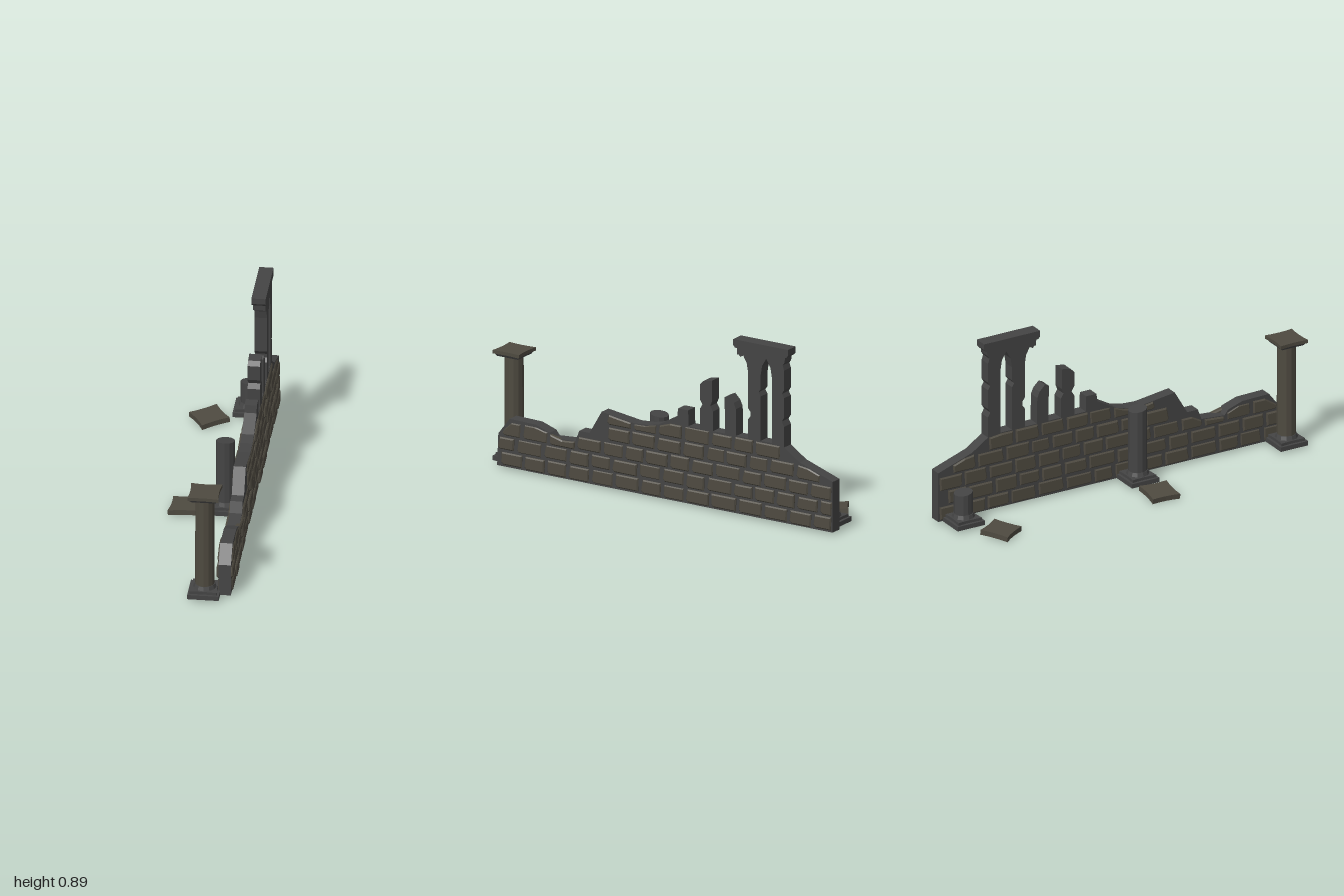
import * as THREE from 'three';

const stone = new THREE.MeshStandardMaterial({ color: 0x444444, flatShading: true });
const brickStone = new THREE.MeshStandardMaterial({ color: 0x4e4a40, flatShading: true });

// Seeded random numbers for the uneven masonry
let seed = 7;
const rand = (a, b) => {
  seed = (seed * 16807) % 2147483647;
  return a + (b - a) * (seed / 2147483647);
};

function add(parent, name, geometry, material, x = 0, y = 0, z = 0) {
  const mesh = new THREE.Mesh(geometry, material);
  mesh.name = name;
  mesh.position.set(x, y, z);
  parent.add(mesh);
  return mesh;
}

const shapeOf = (pts) => new THREE.Shape(pts.map(([a, b]) => new THREE.Vector2(a, b)));

// Extrudes a (z, y) outline across the wall, from x0 to x1
function slab(shape, x0, x1, bevel = 0) {
  const g = new THREE.ExtrudeGeometry(shape, {
    depth: x1 - x0 - 2 * bevel, bevelEnabled: bevel > 0, bevelSegments: 1,
    bevelSize: bevel, bevelOffset: -bevel, bevelThickness: bevel, curveSegments: 5,
  });
  g.rotateY(-Math.PI / 2);
  return g.translate(x1 - bevel, 0, 0);
}

// Broken top edge of the wall, (z, y) from back to front
const ridge = [
  [-1, 0.275], [-0.81, 0.34], [-0.72, 0.4], [-0.7, 0.41], [-0.17, 0.41], [-0.168, 0.49],
  [-0.11, 0.49], [-0.105, 0.45], [0, 0.39], [0.06, 0.375], [0.14, 0.37], [0.33, 0.395],
  [0.4, 0.275], [0.46, 0.275], [0.48, 0.22], [0.61, 0.21], [0.63, 0.235], [0.71, 0.262],
  [0.86, 0.265], [0.925, 0.18],
];

function ridgeHeight(z) {
  for (let i = 1; i < ridge.length; i++) {
    const [z0, y0] = ridge[i - 1], [z1, y1] = ridge[i];
    if (z <= z1) return y0 + (y1 - y0) * (z - z0) / (z1 - z0);
  }
  return 0.18;
}

// Rows of chamfered bricks on one face of the wall
function bricks(side) {
  const group = new THREE.Group();
  group.name = side > 0 ? 'leftBricks' : 'rightBricks';
  const row = 0.078;
  for (let r = 0; r < 5; r++) {
    let z = -0.995 - (r % 2) * 0.07;
    while (z < 0.92) {
      const end = z + rand(0.115, 0.16);
      const a = Math.max(z, -0.998), b = Math.min(end - 0.012, 0.925);
      const low = 0.02 + r * row + rand(0.001, 0.009);
      const high = 0.02 + (r + 1) * row - rand(0.003, 0.01);
      const cap = (t) => Math.min(high, ridgeHeight(t) - 0.004);
      const j = rand(-0.012, 0.012);
      const ya = cap(a), yb = cap(b);
      if (b - a > 0.04 && Math.min(ya, yb) - low > 0.024) {
        const shape = shapeOf([
          [a + 0.005, low], [b - 0.012, low], [b, low + 0.012], [b - Math.abs(j), yb],
          [(a + b) / 2, Math.min(cap((a + b) / 2), Math.max(ya, yb))], [a + 0.002, ya],
        ]);
        const out = rand(0.004, 0.011);
        const g = side > 0 ? slab(shape, 0.175, 0.195 + out, 0.006) : slab(shape, 0.135 - out, 0.155, 0.006);
        add(group, 'brick', g, brickStone);
      }
      z = end;
    }
  }
  return group;
}

// Square block with hollowed sides, used for capitals and fallen slabs
function hollowSquare(size, height, dip) {
  const h = size / 2;
  const s = new THREE.Shape();
  s.moveTo(-h, -h);
  s.quadraticCurveTo(0, -h + dip, h, -h);
  s.quadraticCurveTo(h - dip, 0, h, h);
  s.quadraticCurveTo(0, h - dip, -h, h);
  s.quadraticCurveTo(-h + dip, 0, -h, -h);
  const g = new THREE.ExtrudeGeometry(s, { depth: height, bevelEnabled: false, curveSegments: 4 });
  return g.rotateX(-Math.PI / 2);
}

// Column with stepped base; capital only where it is whole
function column(name, z, top, whole) {
  const group = new THREE.Group();
  group.name = name;
  group.position.set(0.067, 0, z);
  add(group, 'plinth', new THREE.BoxGeometry(0.153, 0.023, 0.153), stone, 0, 0.0295, 0);
  add(group, 'baseStep', hollowSquare(0.132, 0.015, 0.008), stone, 0, 0.04, 0);
  add(group, 'baseRing', new THREE.CylinderGeometry(0.05, 0.057, 0.02, 12), stone, 0, 0.064, 0);
  const shaft = new THREE.CylinderGeometry(0.046, 0.047, top - 0.06, 12, 4);
  shaft.translate(0, (top + 0.06) / 2, 0);
  if (!whole) {
    // Uneven break along the top
    const p = shaft.attributes.position;
    for (let i = 0; i < p.count; i++) {
      if (p.getY(i) > top - 0.001) p.setY(i, top + 0.15 * p.getZ(i));
    }
  }
  add(group, 'shaft', shaft, whole ? brickStone : stone);
  if (whole) {
    const neck = new THREE.CylinderGeometry(0.098, 0.086, 0.014, 4);
    neck.rotateY(Math.PI / 4);
    add(group, 'capitalNeck', neck, stone, 0, 0.553, 0);
    add(group, 'capital', hollowSquare(0.152, 0.017, 0.012), brickStone, 0, 0.559, 0);
  }
  return group;
}

export function createModel() {
  const model = new THREE.Group();
  model.name = 'ruinedWall';

  // Wall core and masonry
  add(model, 'wallCore', slab(shapeOf([[-1, 0.018], [0.932, 0.018], ...[...ridge].reverse()]), 0.135, 0.195), stone);
  model.add(bricks(1), bricks(-1));

  // Broken window mullions
  add(model, 'tallMullion', slab(shapeOf([
    [-0.31, 0.4], [-0.235, 0.4], [-0.235, 0.51], [-0.25, 0.535], [-0.235, 0.56], [-0.235, 0.635],
    [-0.255, 0.655], [-0.305, 0.665], [-0.305, 0.56], [-0.295, 0.535], [-0.31, 0.51],
  ]), 0.135, 0.195), stone);
  add(model, 'shortMullion', slab(shapeOf([
    [-0.445, 0.4], [-0.38, 0.4], [-0.378, 0.595], [-0.4, 0.605], [-0.43, 0.575], [-0.443, 0.545],
  ]), 0.135, 0.195), stone);

  // Surviving window: two chipped posts around a pointed arch, with a broken arch springing forward
  const frame = shapeOf([
    [-0.72, 0.4], [-0.65, 0.4], [-0.65, 0.74], [-0.642, 0.79], [-0.617, 0.832], [-0.593, 0.79],
    [-0.585, 0.74], [-0.585, 0.67], [-0.573, 0.655], [-0.585, 0.635], [-0.585, 0.4],
    [-0.512, 0.4], [-0.512, 0.505], [-0.527, 0.525], [-0.527, 0.545], [-0.512, 0.565],
    [-0.512, 0.75], [-0.505, 0.79], [-0.485, 0.825], [-0.468, 0.815], [-0.46, 0.825], [-0.45, 0.825],
    [-0.448, 0.868], [-0.728, 0.868], [-0.722, 0.83], [-0.712, 0.815], [-0.72, 0.79],
    [-0.72, 0.69], [-0.708, 0.67], [-0.72, 0.65], [-0.72, 0.55], [-0.707, 0.53], [-0.72, 0.505],
  ]);
  add(model, 'archedWindow', slab(frame, 0.135, 0.195), stone);
  add(model, 'lintel', slab(shapeOf([
    [-0.735, 0.858], [-0.44, 0.858], [-0.43, 0.87], [-0.43, 0.9], [-0.745, 0.9], [-0.745, 0.87],
  ]), 0.13, 0.199), stone);

  // Columns along the right face
  model.add(column('frontColumn', 0.917, 0.55, true));
  model.add(column('middleColumn', 0.08, 0.395, false));
  model.add(column('backColumn', -0.9, 0.18, false));

  // Fallen capitals
  for (const [x, z, turn, tilt] of [[-0.118, -0.8, 0.56, 0.07], [-0.126, 0.088, -0.07, 0.09]]) {
    const fallen = add(model, 'fallenCapital', hollowSquare(0.148, 0.026, 0.012), brickStone, x, 0.012, z);
    fallen.rotation.set(0, turn, tilt);
  }
  return model;
}
